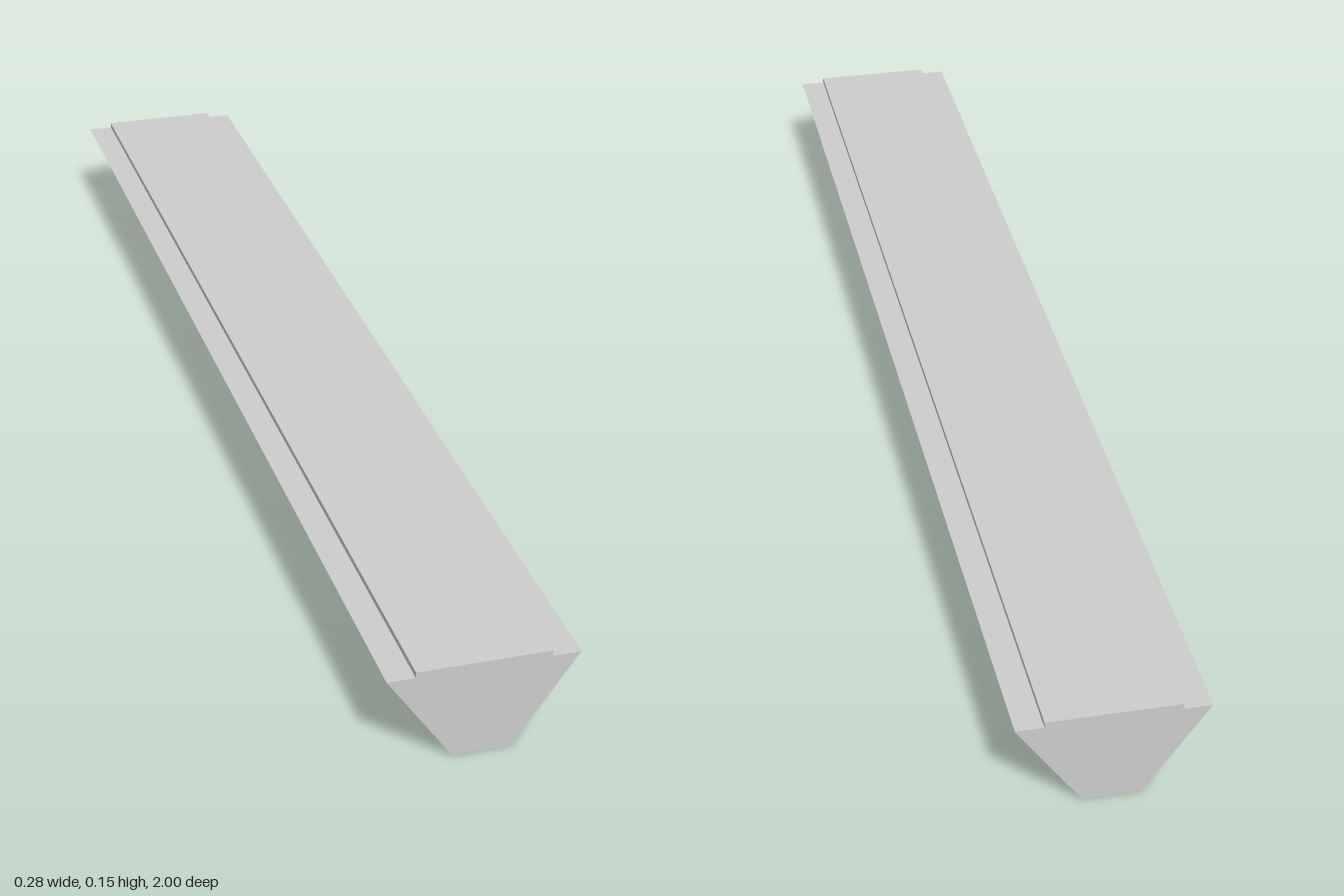
import * as THREE from 'three';

const LENGTH = 2;

export function createModel() {
  const group = new THREE.Group();
  group.name = 'taperedBeam';

  // Right half of the cross-section, bottom to top: tapered side, ledge, raised top
  const half = [[0.044, 0], [0.142, 0.141], [0.1, 0.141], [0.1, 0.15]];
  const mirrored = half.map(([x, y]) => [-x, y]).reverse();
  const profile = new THREE.Shape([...half, ...mirrored].map(([x, y]) => new THREE.Vector2(x, y)));

  // Run the section along z, centred
  const geometry = new THREE.ExtrudeGeometry(profile, { depth: LENGTH, bevelEnabled: false });
  geometry.translate(0, 0, -LENGTH / 2);

  const material = new THREE.MeshStandardMaterial({ color: 0xcccccc, flatShading: true });
  const beam = new THREE.Mesh(geometry, material);
  beam.name = 'beam';
  group.add(beam);
  return group;
}
